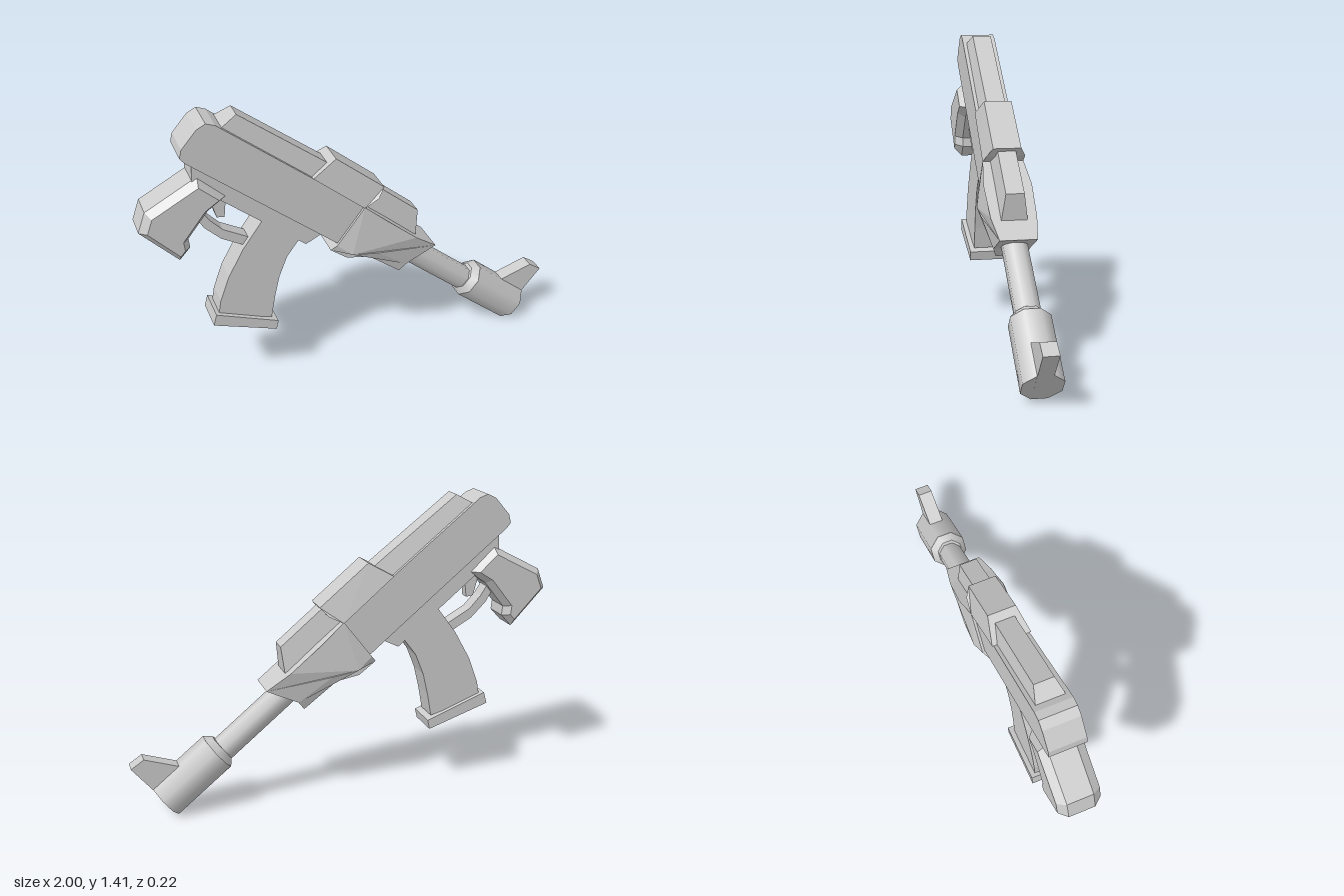
import * as THREE from 'three';

const material = new THREE.MeshStandardMaterial({ color: 0xcccccc });

// Solid from a side outline of [x, y, halfWidth]; w is the default half width
function slab(name, outline, w) {
  let pts = outline.map(([x, y, hw]) => ({ v: new THREE.Vector2(x, y), w: hw ?? w }));
  if (THREE.ShapeUtils.isClockWise(pts.map(p => p.v))) pts = pts.reverse();
  const pos = [];
  const put = (i, side) => pos.push(pts[i].v.x, pts[i].v.y, side * pts[i].w);
  for (const [a, b, c] of THREE.ShapeUtils.triangulateShape(pts.map(p => p.v), [])) {
    put(a, 1); put(b, 1); put(c, 1);
    put(c, -1); put(b, -1); put(a, -1);
  }
  for (let i = 0; i < pts.length; i++) {
    const j = (i + 1) % pts.length;
    put(i, 1); put(i, -1); put(j, -1);
    put(i, 1); put(j, -1); put(j, 1);
  }
  const geo = new THREE.BufferGeometry();
  geo.setAttribute('position', new THREE.Float32BufferAttribute(pos, 3));
  geo.computeVertexNormals();
  return named(name, geo);
}

function named(name, geo) {
  const mesh = new THREE.Mesh(geo, material);
  mesh.name = name;
  return mesh;
}

// Eight-sided round part between two points in the middle plane
function rod(name, [x0, y0], [x1, y1], r0, r1) {
  const dir = new THREE.Vector3(x1 - x0, y1 - y0, 0);
  const geo = new THREE.CylinderGeometry(r1, r0, dir.length(), 8, 1, false, Math.PI / 8);
  const mesh = named(name, geo);
  mesh.position.set((x0 + x1) / 2, (y0 + y1) / 2, 0);
  mesh.quaternion.setFromUnitVectors(new THREE.Vector3(0, 1, 0), dir.normalize());
  return mesh;
}

export function createModel() {
  const model = new THREE.Group();
  model.name = 'model';

  // Main body with rounded rear end
  model.add(slab('body', [
    [-0.8, 1.27], [-0.79, 1.31], [-0.72, 1.39], [-0.68, 1.41], [-0.64, 1.395],
    [0.015, 0.865], [0.1, 0.79], [-0.02, 0.68], [-0.12, 0.7], [-0.18, 0.75], [-0.78, 1.245],
  ], 0.083));

  // Tapered ridges along the top
  model.add(slab('rearRidge', [
    [-0.63, 1.36, 0.07], [-0.54, 1.41, 0.045], [-0.14, 1.1, 0.045], [-0.22, 1.04, 0.07],
  ]));
  model.add(slab('middleRidge', [
    [-0.225, 1.06, 0.09], [-0.11, 1.125, 0.065], [0.12, 0.935, 0.065],
    [0.085, 0.895, 0.09], [0.015, 0.86, 0.095],
  ]));
  model.add(slab('frontRidge', [
    [0.06, 0.96, 0.042], [0.3, 0.76, 0.042], [0.285, 0.635, 0.06], [0.015, 0.86, 0.06],
  ]));

  // Handguard: wide upper half and a lower half that narrows to its underside
  model.add(slab('handguardUpper', [
    [0.015, 0.865, 0.095], [-0.12, 0.69, 0.095], [-0.05, 0.635, 0.112], [0.075, 0.615, 0.112],
    [0.23, 0.5, 0.085], [0.38, 0.57, 0.085], [0.27, 0.65, 0.105], [0.13, 0.77, 0.112],
  ]));
  model.add(slab('handguardLower', [
    [-0.12, 0.69, 0.095], [-0.05, 0.635, 0.112], [0.075, 0.615, 0.112], [0.23, 0.5, 0.085],
    [0.2, 0.46, 0.07], [0.045, 0.58, 0.075], [-0.065, 0.6, 0.075], [-0.145, 0.66, 0.075],
  ]));

  // Barrel and muzzle
  model.add(rod('barrel', [0.2, 0.59], [0.6, 0.26], 0.06, 0.06));
  model.add(rod('muzzleCollar', [0.575, 0.295], [0.6, 0.274], 0.065, 0.095));
  model.add(rod('muzzle', [0.6, 0.274], [0.85, 0.07], 0.095, 0.095));
  model.add(slab('frontSight', [
    [0.775, 0.235], [0.94, 0.29], [1, 0.25], [0.852, 0.072], [0.72, 0.18],
  ], 0.035));

  // Lower body, magazine and its base plate
  model.add(slab('lowerBody', [
    [-0.75, 1.24], [-0.755, 1.125], [-0.26, 0.715], [-0.17, 0.76], [-0.2, 0.82],
  ], 0.065));
  model.add(slab('magazine', [
    [-0.42, 0.92], [-0.455, 0.885], [-0.55, 0.755], [-0.625, 0.62], [-0.67, 0.5], [-0.685, 0.42],
    [-0.435, 0.35], [-0.415, 0.46], [-0.39, 0.565], [-0.35, 0.665], [-0.29, 0.745], [-0.24, 0.78],
  ], 0.06));
  model.add(slab('magazinePlate', [
    [-0.7, 0.445], [-0.41, 0.335], [-0.42, 0.29], [-0.715, 0.39],
  ], 0.083));

  // Trigger and guard
  model.add(slab('triggerGuard', [
    [-0.75, 0.95], [-0.71, 0.885], [-0.64, 0.815], [-0.535, 0.755],
    [-0.515, 0.795], [-0.63, 0.86], [-0.685, 0.92], [-0.72, 0.975],
  ], 0.035));
  model.add(slab('trigger', [
    [-0.66, 1.06], [-0.67, 0.995], [-0.65, 0.92], [-0.615, 0.915], [-0.605, 1.0], [-0.61, 1.03],
  ], 0.022));

  // Rear grip with bevelled edges
  const outline = [
    [-1, 0.94], [-0.835, 0.765], [-0.785, 0.82], [-0.79, 0.865],
    [-0.695, 0.985], [-0.61, 1.045], [-0.73, 1.16], [-0.965, 1.035],
  ].map(p => new THREE.Vector2(...p));
  const grip = new THREE.ExtrudeGeometry(new THREE.Shape(outline), {
    depth: 0.12, bevelThickness: 0.038, bevelSize: 0.028, bevelOffset: -0.028, bevelSegments: 1,
  });
  grip.translate(0, 0, -0.06);
  model.add(named('grip', grip));

  return model;
}
